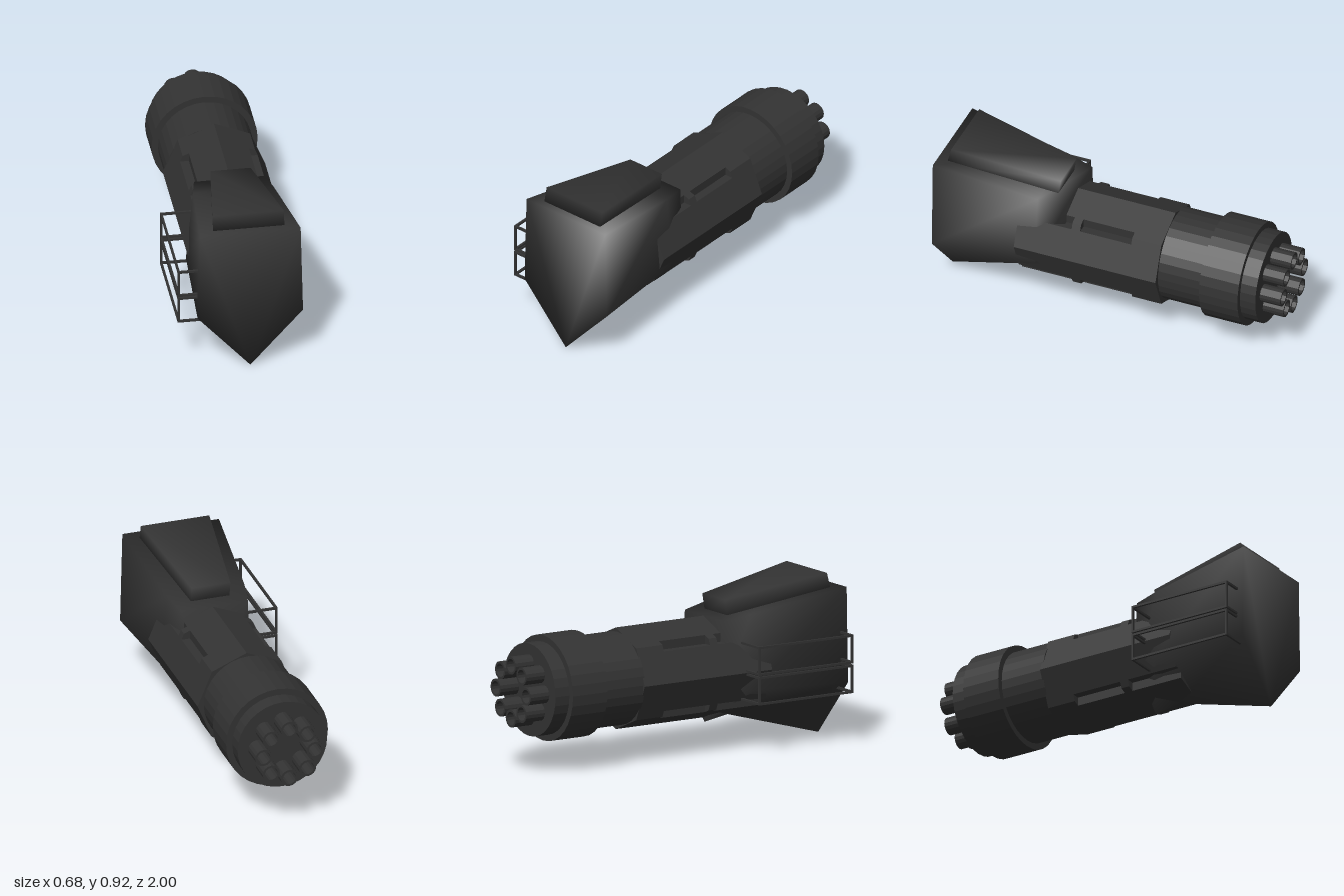
import * as THREE from 'three';

const material = new THREE.MeshStandardMaterial({ color: 0x333333, side: THREE.DoubleSide });
const flat = new THREE.MeshStandardMaterial({ color: 0x333333, flatShading: true });
const CX = 0.05, CY = 0.447;

function add(parent, name, geometry, x = 0, y = 0, z = 0, mat = flat) {
  const mesh = new THREE.Mesh(geometry, mat);
  mesh.name = name;
  mesh.position.set(x, y, z);
  parent.add(mesh);
  return mesh;
}

// Smooth closed skin over rings of points, back to front, counter-clockwise from the front
function loft(rings) {
  const n = rings[0].length, last = (rings.length - 1) * n, index = [];
  for (let r = 0; r < rings.length - 1; r++) {
    for (let i = 0; i < n; i++) {
      const a = r * n + i, b = r * n + (i + 1) % n;
      index.push(a, b, a + n, b, b + n, a + n);
    }
  }
  for (let i = 1; i < n - 1; i++) index.push(0, i + 1, i, last, last + i, last + i + 1);
  const geometry = new THREE.BufferGeometry();
  geometry.setAttribute('position', new THREE.Float32BufferAttribute(rings.flat(2), 3));
  geometry.setIndex(index);
  geometry.computeVertexNormals();
  return geometry;
}

// Five-sided hull section: flat top, nearly upright sides, pointed keel
function hullRing(z, topHalf, topY, sideHalf, sideY, keelY) {
  return [
    [CX, keelY, z],
    [CX + sideHalf, sideY, z], [CX + topHalf, topY, z],
    [CX - topHalf, topY, z], [CX - sideHalf, sideY, z],
  ];
}

// Four-sided section of the top plate, leaning with the hull
function plateRing(half, zLow, yLow, zHigh, yHigh) {
  return [
    [CX + half, yLow, zLow], [CX + half, yHigh, zHigh],
    [CX - half, yHigh, zHigh], [CX - half, yLow, zLow],
  ];
}

// Octagon with corners at top and sides; the diagonal corners may be notched
function octagon(radius, notched) {
  const shape = new THREE.Shape(), d = radius * Math.SQRT1_2, points = [];
  const inner = d - 0.034, outer = d + 0.034 * Math.tan(Math.PI / 8);
  for (let q = 0; q < 4; q++) {
    const turn = (x, y) => new THREE.Vector2(x, y).rotateAround(new THREE.Vector2(), q * Math.PI / 2);
    points.push(turn(radius, 0));
    if (notched) points.push(turn(outer, inner), turn(inner, inner), turn(inner, outer));
    else points.push(turn(d, d));
  }
  return shape.setFromPoints(points);
}

// Cylinder along z between two depths
function tube(radius, z0, z1) {
  const geometry = new THREE.CylinderGeometry(radius, radius, z1 - z0, 32);
  return geometry.rotateX(Math.PI / 2).translate(0, 0, (z0 + z1) / 2);
}

export function createModel() {
  const model = new THREE.Group();
  model.name = 'engineModule';

  // Flared hull and its raised plate
  add(model, 'hull', loft([
    hullRing(0.26, 0.19, 0.725, 0.2, 0.36, 0.14),
    hullRing(0.41, 0.22, 0.749, 0.258, 0.34, 0.165),
    hullRing(1, 0.275, 0.845, 0.288, 0.322, 0),
  ]), 0, 0, 0, material);
  add(model, 'topPlate', loft([
    plateRing(0.11, 0.34, 0.7, 0.32, 0.822),
    plateRing(0.195, 0.95, 0.82, 0.926, 0.917),
  ]), 0, 0, 0, material);

  // Octagonal middle section, slotted along its diagonal corners
  const middle = new THREE.Group();
  middle.name = 'middleSection';
  model.add(middle);
  [[-0.31, -0.14, false], [-0.14, 0.16, true], [0.16, 0.21, false], [0.21, 0.52, true]].forEach(([z0, z1, notched]) => {
    const geometry = new THREE.ExtrudeGeometry(octagon(0.28, notched), { depth: z1 - z0, bevelEnabled: false });
    add(middle, notched ? 'slottedSegment' : 'solidSegment', geometry, 0.06, 0.443, z0);
  });

  // Round rear section with collar
  add(model, 'rearTube', tube(0.255, -0.88, -0.3), CX, CY);
  add(model, 'collar', tube(0.29, -0.79, -0.565), CX, CY);

  // Ring of eight hollow nozzles
  const nozzles = new THREE.Group();
  nozzles.name = 'nozzles';
  model.add(nozzles);
  const profile = [[0.049, 0], [0.049, 0.125], [0.037, 0.125], [0.037, 0.01], [0, 0.01]]
    .map(([x, y]) => new THREE.Vector2(x, y));
  const nozzle = new THREE.LatheGeometry(profile, 16).rotateX(-Math.PI / 2);
  const nozzleMaterial = flat.clone();
  nozzleMaterial.side = THREE.DoubleSide;
  for (let i = 0; i < 8; i++) {
    const a = i * Math.PI / 4;
    add(nozzles, 'nozzle', nozzle, CX + 0.146 * Math.cos(a), CY + 0.146 * Math.sin(a), -0.875, nozzleMaterial);
  }

  // Two stacked rod cages on the right side
  const rod = 0.012, outerX = -0.335, innerX = -0.165;
  [[0.29, 0.434], [0.453, 0.6]].forEach(([low, high], k) => {
    const cage = new THREE.Group();
    cage.name = k ? 'upperCage' : 'lowerCage';
    model.add(cage);
    for (const y of [low, high]) {
      add(cage, 'longRod', new THREE.BoxGeometry(rod, rod, 0.6), outerX, y, 0.66);
      for (const z of [0.36, 0.96]) {
        add(cage, 'crossRod', new THREE.BoxGeometry(innerX - outerX, rod, rod), (innerX + outerX) / 2, y, z);
      }
    }
    for (const z of [0.36, 0.96]) {
      add(cage, 'uprightRod', new THREE.BoxGeometry(rod, high - low + rod, rod), outerX, (low + high) / 2, z);
    }
  });

  return model;
}
